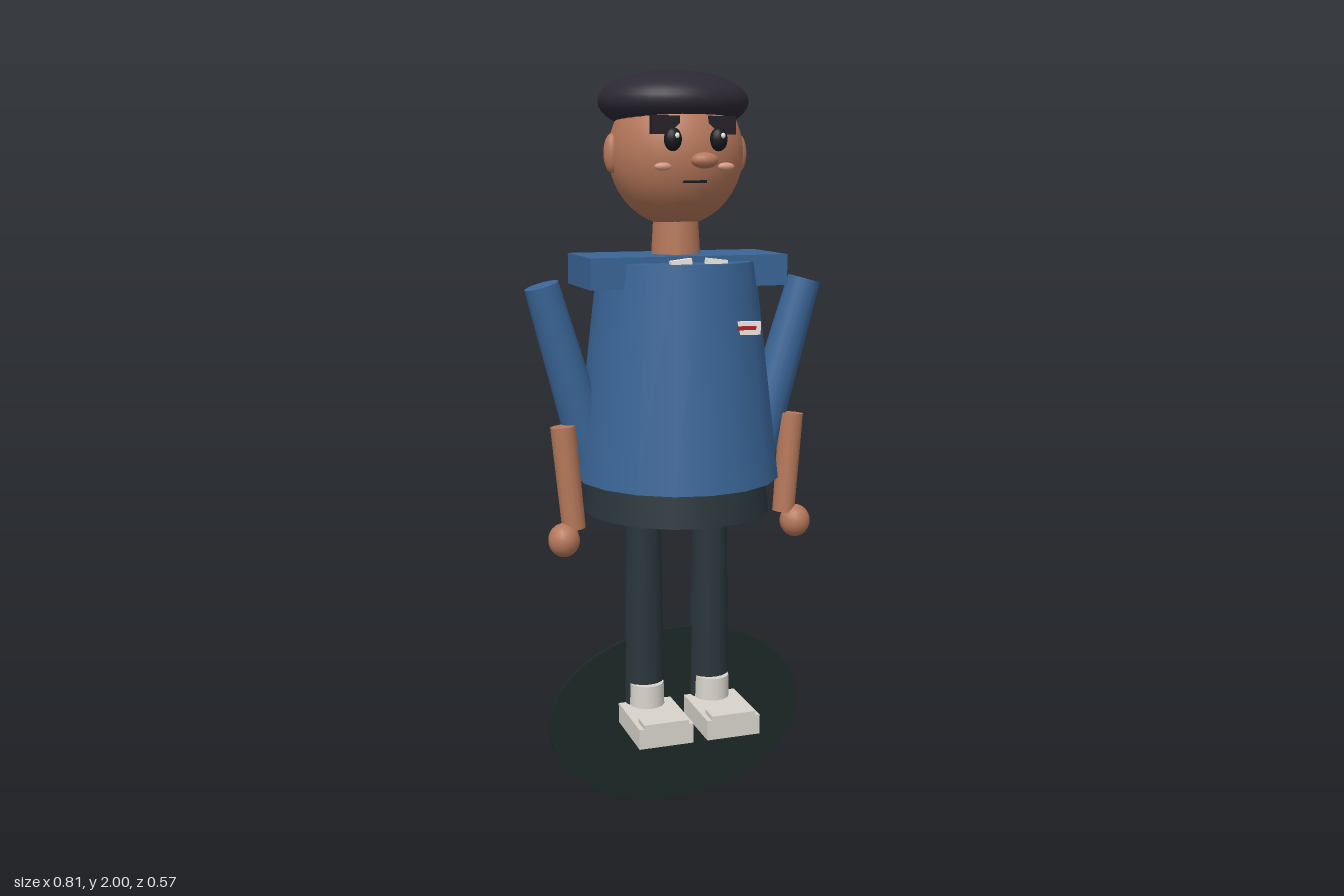
import * as THREE from 'three';

const mat = (color) => new THREE.MeshStandardMaterial({ color });
const COLORS = {
  blue: 0x3a6597, skin: 0xb5775a, trousers: 0x29353b, cap: 0x2c2834,
  ground: 0x1c2825, shoe: 0xd8d4cb, ink: 0x17181c, brow: 0x241f26,
  cheek: 0xd79a82, white: 0xf0ece4, red: 0xb3202c,
};

export function createModel() {
  const model = new THREE.Group();
  model.name = 'standingFigure';
  const mats = {};
  for (const key in COLORS) mats[key] = mat(COLORS[key]);

  const add = (name, geo, color, x, y, z) => {
    const mesh = new THREE.Mesh(geo, mats[color]);
    mesh.name = name;
    mesh.position.set(x, y, z);
    model.add(mesh);
    return mesh;
  };
  const box = (name, color, [w, h, d], [x, y, z]) =>
    add(name, new THREE.BoxGeometry(w, h, d), color, x, y, z);
  const ball = (name, color, [rx, ry, rz], [x, y, z], seg = 24) => {
    const m = add(name, new THREE.SphereGeometry(1, seg, Math.round(seg * 0.7)), color, x, y, z);
    m.scale.set(rx, ry, rz);
    return m;
  };
  // Tapered limb running from a top point to a bottom point
  const limb = (name, color, top, bottom, rTop, rBottom, seg = 18) => {
    const a = new THREE.Vector3(...top), b = new THREE.Vector3(...bottom);
    const mid = a.clone().add(b).multiplyScalar(0.5);
    const m = add(name, new THREE.CylinderGeometry(rTop, rBottom, a.distanceTo(b), seg), color, mid.x, mid.y, mid.z);
    m.quaternion.setFromUnitVectors(new THREE.Vector3(0, 1, 0), a.sub(b).normalize());
    return m;
  };

  // Upright oval disc behind the feet
  const disc = add('ovalDisc', new THREE.CylinderGeometry(1, 1, 0.014, 48), 'ground', 0, 0.253, 0);
  disc.rotation.x = Math.PI / 2;
  disc.scale.set(0.365, 1, 0.253);

  // Torso, hem and shoulders
  limb('torso', 'blue', [0, 1.518, 0], [0, 0.945, 0], 0.215, 0.285).scale.x = 0.965;
  limb('hem', 'trousers', [0, 0.96, 0], [0, 0.852, 0], 0.238, 0.253);
  box('shoulderYoke', 'blue', [0.53, 0.08, 0.23], [0, 1.494, 0.005]);

  // Neck, head and cap
  limb('neck', 'skin', [0, 1.65, -0.005], [0, 1.515, -0.005], 0.058, 0.066);
  ball('head', 'skin', [0.176, 0.185, 0.165], [0, 1.79, -0.005], 32);
  ball('cap', 'cap', [0.197, 0.08, 0.18], [0, 1.92, -0.025], 32);

  // Face
  ball('nose', 'skin', [0.036, 0.02, 0.025], [0.02, 1.772, 0.163], 16);
  box('mouth', 'ink', [0.06, 0.007, 0.012], [0, 1.72, 0.146]);

  // Name badge on the chest
  const badge = box('badge', 'white', [0.07, 0.034, 0.012], [0.122, 1.356, 0.203]);
  badge.rotation.z = -0.03;
  box('badgeStripe', 'red', [0.048, 0.009, 0.012], [0.116, 1.357, 0.214]);

  // Paired parts
  for (const [s, side] of [[1, 'left'], [-1, 'right']]) {
    const n = (part) => side + part;
    ball(n('Ear'), 'skin', [0.022, 0.05, 0.022], [s * 0.172, 1.79, -0.003], 16);
    ball(n('Eye'), 'ink', [0.023, 0.029, 0.018], [s * 0.06, 1.823, 0.153], 16);
    ball(n('EyeGlint'), 'white', [0.006, 0.007, 0.005], [s * 0.06 + 0.006, 1.832, 0.17], 8);
    box(n('Brow'), 'brow', [0.072, 0.045, 0.02], [s * 0.074, 1.858, 0.132]);
    ball(n('Cheek'), 'cheek', [0.023, 0.01, 0.01], [s * 0.083, 1.757, 0.145], 12);
    box(n('Collar'), 'white', [0.055, 0.018, 0.02], [s * 0.047, 1.521, 0.176]).rotation.z = s * -0.12;

    limb(n('UpperArm'), 'blue', [s * 0.364, 1.46, 0.003], [s * 0.232, 1.0, -0.005], 0.045, 0.058);
    limb(n('Forearm'), 'skin', [s * 0.321, 1.097, 0.032], [s * 0.298, 0.825, 0.042], 0.033, 0.031, 14);
    ball(n('Hand'), 'skin', [0.042, 0.045, 0.042], [s * 0.328, 0.798, 0.053], 16);

    limb(n('Leg'), 'trousers', [s * 0.095, 0.9, 0.002], [s * 0.095, 0.287, 0], 0.047, 0.057, 16);
    limb(n('Sock'), 'shoe', [s * 0.095, 0.368, 0.027], [s * 0.095, 0.29, 0.027], 0.047, 0.049, 16);
    box(n('Shoe'), 'shoe', [0.15, 0.055, 0.225], [s * 0.095, 0.278, 0.092]);
    box(n('ToeCap'), 'shoe', [0.124, 0.04, 0.052], [s * 0.095, 0.297, 0.179]);
  }
  return model;
}
